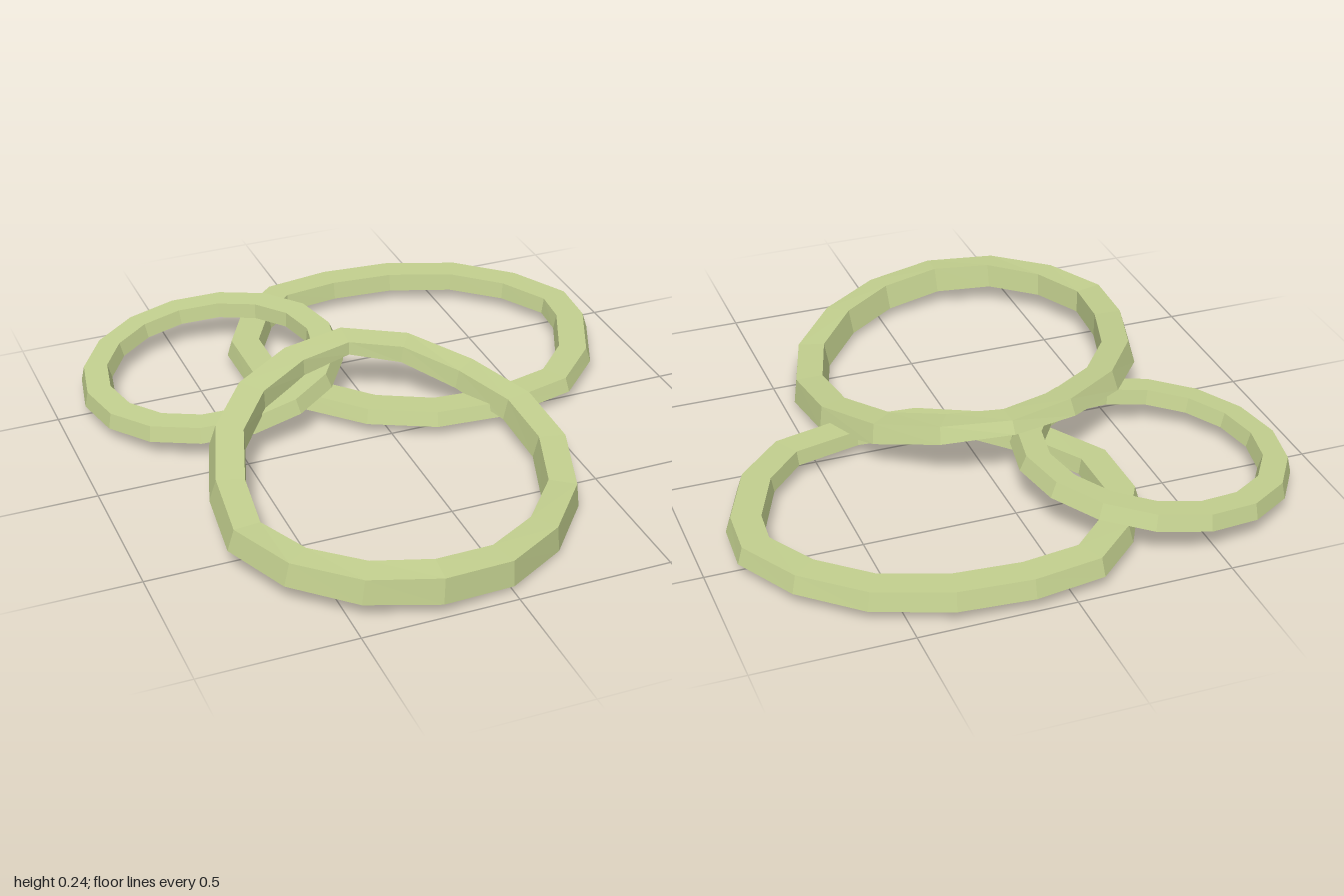
import * as THREE from 'three';

const SIDES = 16;

// Ring with a trapezoid section. Rows: outer base x, z, then base and top height,
// clockwise seen from above. sx, sz: slope of the ring's tilt.
function ring(name, rows, width, sx, sz, material) {
  const n = rows.length;
  const sections = rows.map(([x, z, low, high], i) => {
    const [px, pz] = rows[(i + n - 1) % n];
    const [qx, qz] = rows[(i + 1) % n];
    const len = Math.hypot(qx - px, qz - pz);
    const ix = -(qz - pz) / len, iz = (qx - px) / len; // inward direction
    const taper = 0.016, h = high - low;
    // a point moved inward by d; top points also lean with the tilt
    const point = (d, y, lean) => [
      x + ix * d - sx * lean,
      y + (sx * ix + sz * iz) * d,
      z + iz * d - sz * lean,
    ];
    return [
      point(0, low, 0), point(taper, high, h),
      point(width - taper * 0.6, high, h), point(width, low, 0),
    ];
  });
  const pos = [];
  for (let i = 0; i < n; i++) {
    const s = sections[i], t = sections[(i + 1) % n];
    for (let k = 0; k < 4; k++) {
      const m = (k + 1) % 4;
      pos.push(...s[k], ...s[m], ...t[m], ...s[k], ...t[m], ...t[k]);
    }
  }
  const geo = new THREE.BufferGeometry();
  geo.setAttribute('position', new THREE.Float32BufferAttribute(pos, 3));
  geo.computeVertexNormals();
  const mesh = new THREE.Mesh(geo, material);
  mesh.name = name;
  return mesh;
}

export function createModel() {
  const group = new THREE.Group();
  group.name = 'onionRings';
  const onion = new THREE.MeshStandardMaterial({ color: 0xc3d08f });
  onion.name = 'pale onion green';

  // Small round ring, leaning up on the flat one
  const small = Array.from({ length: SIDES }, (_, i) => {
    const a = (i / SIDES) * Math.PI * 2;
    const x = -0.465 + 0.445 * Math.sin(a), z = -0.475 - 0.45 * Math.cos(a);
    const low = 0.047 + 0.105 * (x + 0.91);
    return [x, z, low, low + 0.05];
  });
  group.add(ring('smallRing', small, 0.105, 0.105, 0, onion));

  // Flat ring lying at the back
  const flat = [
    [0.13, -1.0], [0.37, -0.98], [0.61, -0.89], [0.79, -0.73],
    [0.9, -0.53], [0.89, -0.35], [0.79, -0.12], [0.63, 0.04],
    [0.37, 0.105], [0.13, 0.085], [-0.08, -0.02], [-0.25, -0.2],
    [-0.36, -0.39], [-0.36, -0.63], [-0.25, -0.83], [-0.1, -0.965],
  ].map(([x, z]) => [x, z, 0.045, 0.093 - 0.012 * z]);
  group.add(ring('flatRing', flat, 0.12, 0, 0, onion));

  // Large bent ring, resting over both others
  const large = [
    [-0.05, -0.36, 0.197, 0.24], [0.17, -0.28, 0.16, 0.215],
    [0.34, -0.11, 0.1, 0.165], [0.45, 0.11, 0.055, 0.13],
    [0.465, 0.36, 0.02, 0.1], [0.38, 0.62, 0.002, 0.085],
    [0.21, 0.83, 0.01, 0.095], [0, 0.96, 0.022, 0.108],
    [-0.24, 0.995, 0.045, 0.13], [-0.47, 0.93, 0.062, 0.142],
    [-0.65, 0.77, 0.07, 0.147], [-0.75, 0.55, 0.08, 0.155],
    [-0.725, 0.3, 0.1, 0.178], [-0.64, 0.04, 0.13, 0.208],
    [-0.49, -0.16, 0.16, 0.228], [-0.28, -0.3, 0.185, 0.24],
  ];
  group.add(ring('largeRing', large, 0.115, -0.06, -0.11, onion));

  return group;
}
